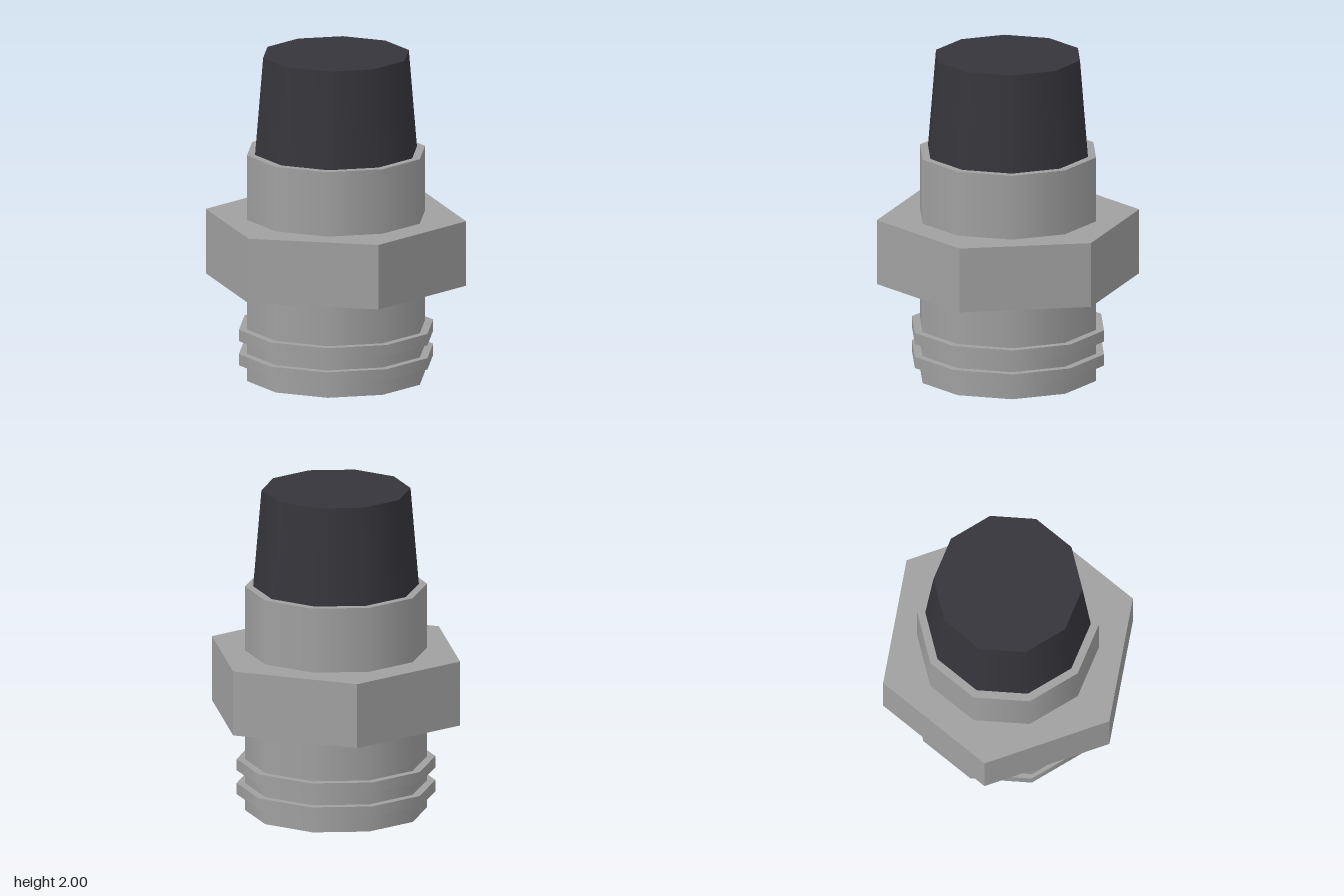
import * as THREE from 'three';

export function createModel() {
  const model = new THREE.Group();
  const metal = new THREE.MeshStandardMaterial({ color: 0xa0a0a0 });
  metal.name = 'grey metal';
  const rubber = new THREE.MeshStandardMaterial({ color: 0x36353b });
  rubber.name = 'dark rubber';

  // Upright prism from y0 to y1, with a corner on the z axis
  function addPrism(name, rBottom, rTop, y0, y1, sides, material, faceted = false) {
    let geometry = new THREE.CylinderGeometry(rTop, rBottom, y1 - y0, sides);
    if (faceted) {
      geometry = geometry.toNonIndexed();
      geometry.computeVertexNormals();
    }
    const mesh = new THREE.Mesh(geometry, material);
    mesh.name = name;
    mesh.position.y = (y0 + y1) / 2;
    model.add(mesh);
  }

  // Ten-sided body running through the hex collar
  addPrism('body', 0.55, 0.55, 0, 1.4, 10, metal);
  addPrism('hexNut', 0.8, 0.8, 0.6, 1.0, 6, metal, true);

  // Thread ridges near the bottom
  [0.1, 0.25].forEach((y, i) => {
    addPrism(`threadRing${i + 1}`, 0.6, 0.6, y, y + 0.07, 10, metal);
  });

  // Tapered cap
  addPrism('cap', 0.5, 0.45, 1.4, 2.0, 10, rubber);

  return model;
}
